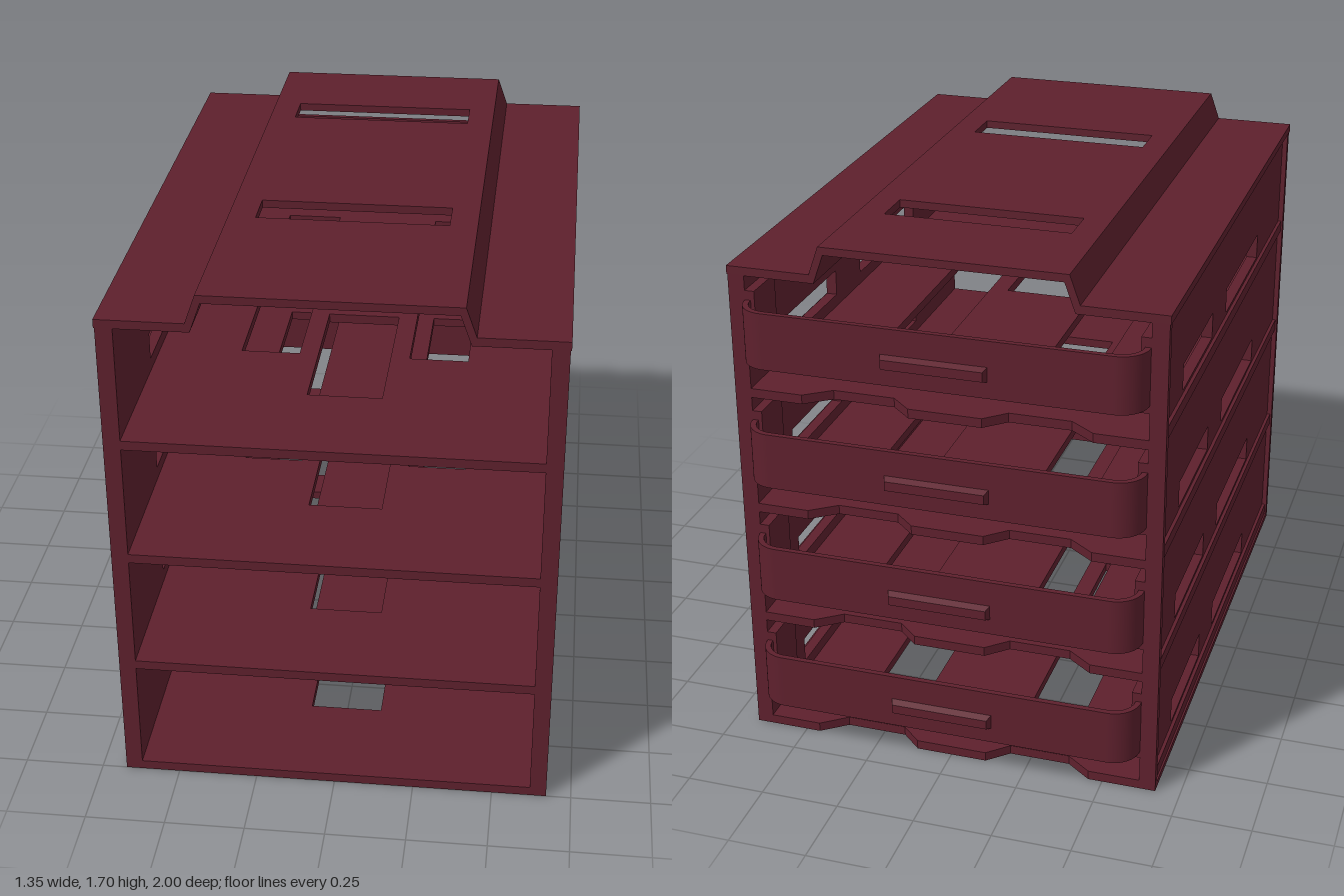
import * as THREE from 'three';

const material = new THREE.MeshStandardMaterial({ color: 0x5e202d });
const PITCH = 0.394;
const LEVELS = [0, 1, 2, 3];

function polygon(points, holes = []) {
  const toPts = (list) => list.map(([a, b]) => new THREE.Vector2(a, b));
  const shape = new THREE.Shape(toPts(points));
  for (const h of holes) shape.holes.push(new THREE.Path(toPts(h)));
  return shape;
}

const rect = (a0, b0, a1, b1) => [[a0, b0], [a1, b0], [a1, b1], [a0, b1]];

const extrude = (shape, depth) =>
  new THREE.ExtrudeGeometry(shape, { depth, bevelEnabled: false, curveSegments: 12 });

// Shape drawn in (x, z); its top face lies at y = top
const flatPlate = (shape, top, thick) =>
  extrude(shape, thick).rotateX(Math.PI / 2).translate(0, top, 0);

// Shape drawn in (z, y); spans x0 to x1
const sidePlate = (shape, x0, x1) =>
  extrude(shape, x1 - x0).rotateY(-Math.PI / 2).translate(x1, 0, 0);

function box(x0, x1, y0, y1, z0, z1) {
  return new THREE.BoxGeometry(x1 - x0, y1 - y0, z1 - z0)
    .translate((x0 + x1) / 2, (y0 + y1) / 2, (z0 + z1) / 2);
}

function add(parent, name, geometry) {
  const mesh = new THREE.Mesh(geometry, material);
  mesh.name = name;
  parent.add(mesh);
}

// Side wall: thin panel with windows, raised border and raised strips
function makeWall(side) {
  const wall = new THREE.Group();
  wall.name = side > 0 ? 'leftWall' : 'rightWall';
  const span = (a, b) => (side > 0 ? [a, b] : [-b, -a]);
  const windows = [];
  for (const i of LEVELS) {
    const y = 0.07 + i * PITCH;
    windows.push(rect(0.02, y, 0.55, y + 0.085), rect(-0.61, y, -0.195, y + 0.085));
  }
  add(wall, 'wallPanel', sidePlate(polygon(rect(-0.89, 0, 1, 1.58), windows), ...span(0.62, 0.655)));
  const border = polygon(rect(-0.89, 0, 1, 1.58), [rect(-0.865, 0.02, 0.975, 1.575)]);
  add(wall, 'wallBorder', sidePlate(border, ...span(0.655, 0.672)));
  for (const i of LEVELS) {
    const y = 0.02 + i * PITCH;
    add(wall, 'wallStrip', box(...span(0.655, 0.666), y, y + 0.04, -0.865, 0.975));
    // Pad inside the wall that carries the rear stop
    add(wall, 'stopPad', box(...span(0.59, 0.62), y + 0.095, y + 0.33, -0.89, -0.74));
  }
  return wall;
}

// Shelf with a central opening, two long slots and two rear notches
function makeShelf(i) {
  const back = -0.89, notch = -0.83;
  const outline = [
    [-0.62, 1], [-0.62, back],
    [-0.455, back], [-0.375, notch], [-0.18, notch], [-0.115, back],
    [0.115, back], [0.18, notch], [0.375, notch], [0.455, back],
    [0.62, back], [0.62, 1],
  ];
  const holes = [
    rect(-0.115, 0.1, 0.115, 0.66),
    rect(0.175, -0.7, 0.36, 0.39),
    rect(-0.36, -0.7, -0.175, 0.39),
  ];
  return flatPlate(polygon(outline, holes), 0.03 + i * PITCH, 0.03);
}

// Rear stop: rounded U-shaped band with a small tapered tab
function makeStop(i) {
  const stop = new THREE.Group();
  stop.name = 'rearStop';
  const y = 0.14 + i * PITCH, t = 0.018, r = 0.085;
  const w = 0.62, zBack = -0.978, front = -0.8;
  const s = new THREE.Shape();
  s.moveTo(w, front);
  s.lineTo(w, zBack + r);
  s.absarc(w - r, zBack + r, r, 0, -Math.PI / 2, true);
  s.lineTo(-w + r, zBack);
  s.absarc(-w + r, zBack + r, r, -Math.PI / 2, -Math.PI, true);
  s.lineTo(-w, front);
  s.lineTo(-w + t, front);
  s.lineTo(-w + t, zBack + r);
  s.absarc(-w + r, zBack + r, r - t, -Math.PI, -Math.PI / 2, false);
  s.lineTo(w - r, zBack + t);
  s.absarc(w - r, zBack + r, r - t, -Math.PI / 2, 0, false);
  s.lineTo(w - t, front);
  s.closePath();
  add(stop, 'stopBand', flatPlate(s, y + 0.18, 0.18));

  // Tab narrows toward its outer face
  const tab = new THREE.BoxGeometry(0.33, 0.05, 0.026);
  const p = tab.attributes.position;
  for (let k = 0; k < p.count; k++) {
    if (p.getZ(k) < 0) p.setXY(k, p.getX(k) * 0.94, p.getY(k) * 0.6);
  }
  tab.computeVertexNormals();
  add(stop, 'stopTab', tab.translate(0, y + 0.075, -0.987));
  return stop;
}

// Top: flanges, sloped sides and a raised deck with two openings
function makeTop() {
  const top = new THREE.Group();
  top.name = 'top';
  const openings = [rect(-0.295, -0.565, 0.295, -0.43), rect(-0.295, 0.305, 0.295, 0.44)];
  add(top, 'raisedDeck', flatPlate(polygon(rect(-0.38, -0.89, 0.38, 1), openings), 1.695, 0.025));
  for (const s of [-1, 1]) {
    const profile = [
      [0.675, 1.578], [0.675, 1.605], [0.412, 1.605],
      [0.38, 1.695], [0.365, 1.67], [0.398, 1.578],
    ].map(([x, y]) => [s * x, y]);
    add(top, 'flange', extrude(polygon(profile), 1.89).translate(0, 0, -0.89));
  }
  return top;
}

export function createModel() {
  const model = new THREE.Group();
  model.name = 'shelfRack';
  model.add(makeWall(1), makeWall(-1), makeTop());
  for (const i of LEVELS) {
    add(model, 'shelf', makeShelf(i));
    model.add(makeStop(i));
  }
  return model;
}
